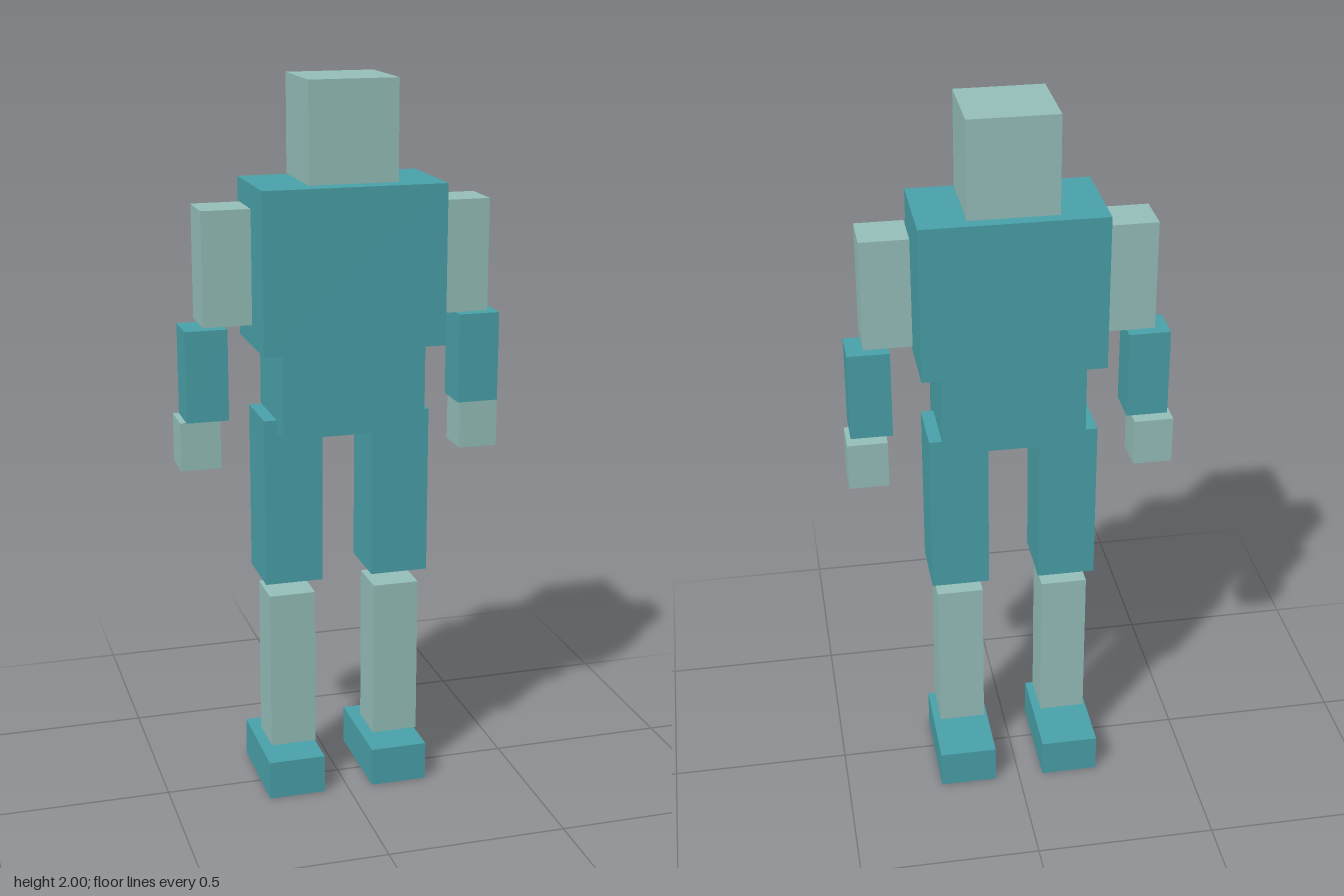
import * as THREE from 'three';

const teal = new THREE.MeshStandardMaterial({ color: 0x4aa3ab });
teal.name = 'teal';
const paleGreen = new THREE.MeshStandardMaterial({ color: 0x97c1bc });
paleGreen.name = 'paleGreen';

// Box spanning the given ranges on each axis
function block(name, material, [x0, x1], [y0, y1], [z0, z1]) {
  const mesh = new THREE.Mesh(new THREE.BoxGeometry(x1 - x0, y1 - y0, z1 - z0), material);
  mesh.position.set((x0 + x1) / 2, (y0 + y1) / 2, (z0 + z1) / 2);
  mesh.name = name;
  return mesh;
}

export function createModel() {
  const model = new THREE.Group();
  model.name = 'blockFigure';

  // Head and trunk
  model.add(
    block('head', paleGreen, [-0.12, 0.12], [1.735, 2], [-0.074, 0.154]),
    block('chest', teal, [-0.248, 0.248], [1.3, 1.73], [-0.098, 0.177]),
    block('hips', teal, [-0.195, 0.195], [1.07, 1.3], [-0.087, 0.166]),
  );

  // Limb segments: name, material, x range on the left side, y range, z range
  const limbs = [
    ['UpperArm', paleGreen, [0.26, 0.391], [1.37, 1.674], [-0.024, 0.102]],
    ['Forearm', teal, [0.321, 0.435], [1.11, 1.357], [-0.03, 0.079]],
    ['Hand', paleGreen, [0.338, 0.447], [0.97, 1.103], [-0.055, 0.048]],
    ['Thigh', teal, [0.07, 0.23], [0.64, 1.105], [-0.077, 0.097]],
    ['Shin', paleGreen, [0.085, 0.214], [0.143, 0.594], [-0.055, 0.072]],
    ['Foot', teal, [0.07, 0.23], [0, 0.11], [-0.179, 0.115]],
  ];
  for (const [name, material, [x0, x1], y, z] of limbs) {
    model.add(
      block('left' + name, material, [x0, x1], y, z),
      block('right' + name, material, [-x1, -x0], y, z),
    );
  }
  return model;
}
